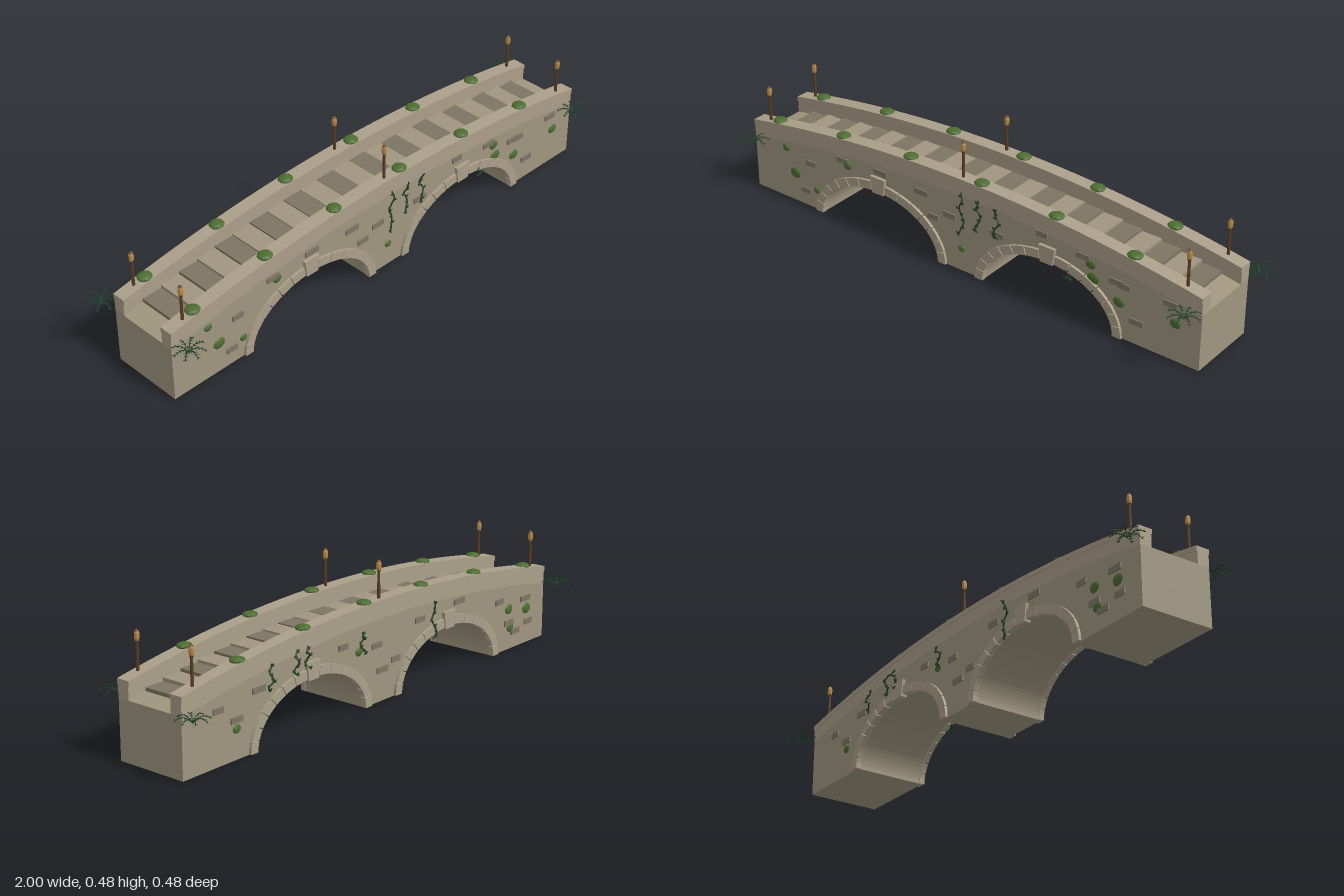
import * as THREE from 'three';

const mat = (name, color, extra = {}) => {
  const m = new THREE.MeshStandardMaterial({ color, ...extra });
  m.name = name;
  return m;
};
const M = {
  stone: mat('wall stone', 0xa0967f),
  trim: mat('trim stone', 0xaa9f89),
  slab: mat('light slab', 0xa0957f),
  darkSlab: mat('dark slab', 0x7c7562),
  brick: mat('dark brick', 0x7f7766),
  moss: mat('moss green', 0x4c6c30, { flatShading: true }),
  vine: mat('vine green', 0x1f3d24),
  fern: mat('fern green', 0x1d4028, { side: THREE.DoubleSide }),
  pole: mat('pole brown', 0x5c3d24),
  lantern: mat('lantern amber', 0xb98a48, { flatShading: true }),
};

const X0 = -0.937, X1 = 0.933, ZF = 0.135, ZB = -0.129;
const ARCH_X = [-0.357, 0.354], RX = 0.264, RY = 0.18;
const deckY = x => 0.29 - 0.085 * (x / 0.935) ** 2;

export function createModel() {
  const root = new THREE.Group();
  root.name = 'stoneBridge';

  const add = (name, geo, material, parent = root) => {
    const mesh = new THREE.Mesh(geo, material);
    mesh.name = name;
    parent.add(mesh);
    return mesh;
  };
  const group = name => {
    const g = new THREE.Group();
    g.name = name;
    root.add(g);
    return g;
  };
  const extrude = (shape, z0, z1, curveSegments = 24) =>
    new THREE.ExtrudeGeometry(shape, { depth: z1 - z0, bevelEnabled: false, curveSegments }).translate(0, 0, z0);

  // Points along the hump of the bridge, raised by h
  const humpLine = (h, n = 28) => Array.from({ length: n + 1 }, (_, i) => {
    const x = X0 + (X1 - X0) * i / n;
    return new THREE.Vector2(x, deckY(x) + h);
  });
  const band = (low, high) => new THREE.Shape([...humpLine(low), ...humpLine(high).reverse()]);

  // Body with two arched openings
  const body = new THREE.Shape();
  body.moveTo(X0, 0);
  for (const cx of ARCH_X) {
    body.lineTo(cx - RX, 0);
    body.absellipse(cx, 0, RX, RY, Math.PI, 0, true);
  }
  body.lineTo(X1, 0);
  humpLine(-0.002).reverse().forEach(p => body.lineTo(p.x, p.y));
  add('body', extrude(body, ZB, ZF), M.stone);

  // Deck slabs, alternating light and dark
  const deck = group('deck');
  for (let k = -11; k <= 11; k++) {
    const x = k * 0.075;
    const s = add('deckSlab', new THREE.BoxGeometry(0.075, 0.02, 0.178), k % 2 ? M.darkSlab : M.slab, deck);
    s.position.set(x, deckY(x) - 0.006, 0.003);
  }

  // Parapets and their coping stones
  for (const [side, a, b] of [['front', 0.092, ZF + 0.001], ['back', ZB - 0.001, -0.086]]) {
    add(side + 'Parapet', extrude(band(-0.004, 0.045), a, b), M.trim);
    add(side + 'Coping', extrude(band(0.043, 0.06), a - 0.003, b + 0.003), M.trim);
  }

  // Arch ring stones and keystones on both faces
  const ringStones = group('archStones');
  const N = 15;
  for (const cx of ARCH_X) {
    for (const [z0, z1] of [[ZF - 0.01, ZF + 0.01], [ZB - 0.01, ZB + 0.01]]) {
      const pt = (t, grow) => new THREE.Vector2(cx - Math.cos(t) * (RX + grow), Math.sin(t) * (RY + grow));
      for (let i = 0; i < N; i++) {
        if (i === (N - 1) / 2) continue;
        const t0 = (i + 0.03) * Math.PI / N, t1 = (i + 0.97) * Math.PI / N, tm = (t0 + t1) / 2;
        const s = new THREE.Shape([pt(t0, -0.003), pt(tm, -0.003), pt(t1, -0.003), pt(t1, 0.029), pt(tm, 0.029), pt(t0, 0.029)]);
        add('archStone', extrude(s, z0, z1), M.trim, ringStones);
      }
      const key = new THREE.Shape([[-0.024, 0.17], [0.024, 0.17], [0.032, 0.231], [-0.032, 0.231]]
        .map(([x, y]) => new THREE.Vector2(cx + x, y)));
      add('keystone', extrude(key, z0 - 0.002, z1 + 0.002), M.trim, ringStones);
    }
  }

  // Raised dark bricks: x, y
  const bricks = group('bricks');
  const frontBricks = [[-0.67, 0.175], [-0.52, 0.24], [-0.35, 0.25], [-0.12, 0.165], [-0.05, 0.195], [0.15, 0.195],
    [0.33, 0.265], [0.49, 0.245], [0.62, 0.2], [0.65, 0.195], [0.7, 0.082], [-0.17, 0.24], [-0.7, 0.06], [0.82, 0.2]];
  const backBricks = [[0.78, 0.18], [0.7, 0.13], [0.6, 0.2], [0.2, 0.235], [0.03, 0.2], [0, 0.11], [-0.07, 0.13],
    [-0.2, 0.235], [-0.42, 0.25], [-0.66, 0.19], [-0.72, 0.1], [-0.82, 0.17], [-0.84, 0.08], [-0.76, 0.06]];
  [[frontBricks, ZF], [backBricks, ZB]].forEach(([list, z]) => list.forEach(([x, y], i) => {
    const b = add('brick', new THREE.BoxGeometry(0.045 + 0.006 * (i % 3), 0.02, 0.01), M.brick, bricks);
    b.position.set(x, y, z);
  }));

  // Moss clumps on the coping and patches on the walls
  const moss = group('moss');
  const clump = (x, y, z, sx, sy, sz, turn) => {
    const m = add('mossClump', new THREE.IcosahedronGeometry(1, 1), M.moss, moss);
    m.scale.set(sx, sy, sz);
    m.position.set(x, y, z);
    m.rotation.y = turn;
  };
  for (let i = 0; i < 6; i++) {
    const x = -0.83 + i * 0.3;
    for (const z of [0.115, -0.109]) clump(x, deckY(x) + 0.062, z, 0.027, 0.011, 0.025, 0);
  }
  const patches = [[-0.75, 0.112, 0.024], [-0.79, 0.2, 0.016], [-0.65, 0.075, 0.015], [-0.5, 0.226, 0.018], [0.52, 0.226, 0.02],
    [0.53, 0.178, 0.024], [0.63, 0.13, 0.022], [0.84, 0.137, 0.021], [0, 0.085, 0.015]];
  for (const [x, y, r] of patches) clump(x, y, ZF, r, r * 0.85, 0.007, 0);
  for (const [x, y, r] of [[-0.72, 0.15, 0.022], [-0.83, 0.13, 0.024], [-0.73, 0.08, 0.02], [0.7, 0.1, 0.018], [0.12, 0.2, 0.018]])
    clump(x, y, ZB, r, r * 0.85, 0.007, 0);

  // Hanging vines with small leaves: x, top, bottom, face direction
  const vines = group('vines');
  const vineList = [[0.005, 0.305, 0.14, 1], [0.075, 0.305, 0.18, 1], [0.15, 0.3, 0.18, 1], [0.44, 0.175, 0.14, 1],
    [0.55, 0.27, 0.18, -1], [0.43, 0.285, 0.2, -1], [0.38, 0.285, 0.21, -1], [0.11, 0.27, 0.19, -1], [-0.27, 0.29, 0.15, -1]];
  vineList.forEach(([x, top, bottom, dir], v) => {
    const face = dir > 0 ? ZF : ZB;
    const pts = Array.from({ length: 7 }, (_, i) => new THREE.Vector3(
      x + 0.009 * Math.sin(i * 1.9 + v), top + (bottom - top) * i / 6, face + dir * (0.009 + 0.006 * Math.sin(i * 1.3 + v))));
    const curve = new THREE.CatmullRomCurve3(pts);
    add('vineStem', new THREE.TubeGeometry(curve, 16, 0.0028, 5), M.vine, vines);
    for (let i = 0; i < 7; i++) {
      const leaf = add('vineLeaf', new THREE.OctahedronGeometry(1), M.vine, vines);
      leaf.position.copy(curve.getPoint((i + 0.5) / 7)).add(new THREE.Vector3(i % 2 ? 0.006 : -0.006, 0, dir * 0.002));
      leaf.scale.set(0.008, 0.006, 0.003);
      leaf.rotation.z = i % 2 ? 0.6 : -0.6;
    }
  });

  // Ferns at the four corners: arching fronds with paired leaflets
  const frondLine = new THREE.QuadraticBezierCurve3(
    new THREE.Vector3(0, 0, 0), new THREE.Vector3(0.025, 0.034, 0), new THREE.Vector3(0.055, 0.01, 0));
  const leaflet = new THREE.ShapeGeometry(new THREE.Shape([[0, -0.0022], [0.012, 0], [0, 0.0022]]
    .map(([x, y]) => new THREE.Vector2(x, y)))).rotateX(-Math.PI / 2);
  for (const [x, z] of [[-0.945, -0.185], [0.942, -0.185], [-0.905, 0.178], [0.895, 0.178]]) {
    const fern = group('fern');
    fern.position.set(x, 0.2, z);
    for (let i = 0; i < 8; i++) {
      const frond = new THREE.Group();
      frond.name = 'frond';
      frond.rotation.y = i * Math.PI / 4 + x;
      fern.add(frond);
      add('frondStem', new THREE.TubeGeometry(frondLine, 6, 0.0014, 4), M.fern, frond);
      for (let j = 1; j <= 5; j++) for (const s of [-1, 1]) {
        const l = add('leaflet', leaflet, M.fern, frond);
        l.position.copy(frondLine.getPoint(j / 5.5));
        l.rotation.y = s * 0.9;
      }
    }
  }

  // Lamp posts with amber lanterns
  const headProfile = [[0, -0.02], [0.005, -0.019], [0.0085, -0.008], [0.0085, 0.008], [0.005, 0.018], [0, 0.02]]
    .map(([x, y]) => new THREE.Vector2(x, y));
  for (const x of [-0.873, -0.004, 0.866]) for (const z of [0.118, -0.111]) {
    const lamp = group('lampPost');
    lamp.position.set(x, deckY(x) + 0.05, z);
    add('pole', new THREE.CylinderGeometry(0.0045, 0.0055, 0.105, 8), M.pole, lamp).position.y = 0.0525;
    add('lantern', new THREE.LatheGeometry(headProfile, 8), M.lantern, lamp).position.y = 0.12;
    add('lanternCollar', new THREE.CylinderGeometry(0.007, 0.0055, 0.005, 8), M.pole, lamp).position.y = 0.102;
    add('lanternCap', new THREE.ConeGeometry(0.0075, 0.008, 8), M.pole, lamp).position.y = 0.139;
  }
  return root;
}
